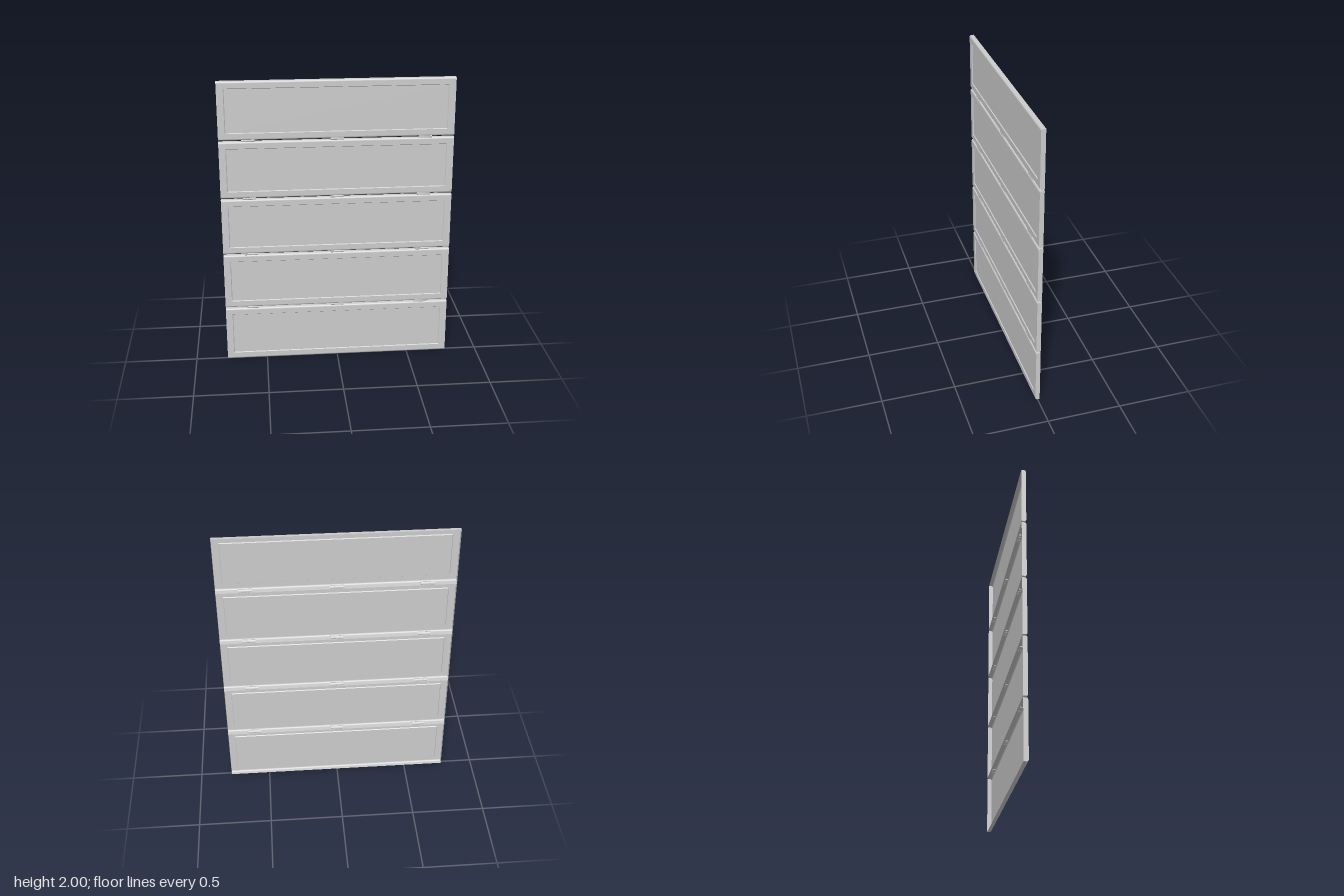
import * as THREE from 'three';

const W = 1.56, H = 0.392, PITCH = 0.402, D = 0.015, R = 0.012;
const mat = new THREE.MeshStandardMaterial({ color: 0xcccccc, side: THREE.DoubleSide });

function add(parent, name, geometry, x = 0, y = 0, z = 0) {
  const mesh = new THREE.Mesh(geometry, mat);
  mesh.name = name;
  mesh.position.set(x, y, z);
  parent.add(mesh);
  return mesh;
}

// Front sheet from nested rectangles [halfWidth, halfHeight, z]
function nestedRectangles(rings) {
  const pos = [], idx = [];
  for (const [w, h, z] of rings) pos.push(-w, -h, z, w, -h, z, w, h, z, -w, h, z);
  for (let i = 0; i < rings.length - 1; i++) {
    for (let j = 0; j < 4; j++) {
      const a = i * 4 + j, b = i * 4 + (j + 1) % 4;
      idx.push(a, b, b + 4, a, b + 4, a + 4);
    }
  }
  let g = new THREE.BufferGeometry();
  g.setAttribute('position', new THREE.Float32BufferAttribute(pos, 3));
  g.setIndex(idx);
  g = g.toNonIndexed();
  g.computeVertexNormals();
  return g;
}

// Flange folded from the front sheet around a rounded edge to the back
function flangeGeometry() {
  const profile = [[H / 2, -D]];
  for (let i = 0; i <= 6; i++) {
    const a = (i / 6) * Math.PI / 2;
    profile.push([H / 2 - R + R * Math.cos(a), D - R + R * Math.sin(a)]);
  }
  const g = new THREE.PlaneGeometry(W, 1, 1, profile.length - 1);
  const p = g.attributes.position;
  for (let i = 0; i < p.count; i++) {
    const [y, z] = profile[Math.floor(i / 2)];
    p.setXYZ(i, p.getX(i), y, z);
  }
  g.computeVertexNormals();
  return g;
}

// End plate outline in (z, y), rounded at the front corners
function endGeometry() {
  const s = new THREE.Shape();
  const h = H / 2;
  s.moveTo(-D, -h);
  s.lineTo(D - R, -h);
  s.absarc(D - R, -h + R, R, -Math.PI / 2, 0);
  s.lineTo(D, h - R);
  s.absarc(D - R, h - R, R, 0, Math.PI / 2);
  s.lineTo(-D, h);
  const g = new THREE.ShapeGeometry(s, 6);
  g.rotateY(-Math.PI / 2);
  return g;
}

export function createModel() {
  const model = new THREE.Group();
  model.name = 'sectionalDoor';

  // Pressed sheet with a shallow recessed field
  const sheet = nestedRectangles([
    [W / 2, H / 2 - R, D],
    [0.735, 0.15, D],
    [0.73, 0.146, D - 0.006],
    [0, 0, D - 0.006],
  ]);
  const flange = flangeGeometry();
  const end = endGeometry();

  // Five open-backed panels
  for (let i = 0; i < 5; i++) {
    const panel = new THREE.Group();
    panel.name = 'panel' + (i + 1);
    panel.position.y = H / 2 + i * PITCH;
    add(panel, 'frontSheet', sheet);
    add(panel, 'topFlange', flange);
    add(panel, 'bottomFlange', flange).scale.y = -1;
    add(panel, 'leftEnd', end, W / 2);
    add(panel, 'rightEnd', end, -W / 2);
    model.add(panel);
  }

  // Three hinges in each joint, each with three knuckles on a pin
  const knuckle = new THREE.CylinderGeometry(0.012, 0.012, 0.028, 16).rotateZ(Math.PI / 2);
  const pin = new THREE.CylinderGeometry(0.009, 0.009, 0.088, 12).rotateZ(Math.PI / 2);
  for (let i = 1; i < 5; i++) {
    for (const x of [-0.588, 0, 0.588]) {
      const hinge = new THREE.Group();
      hinge.name = 'hinge';
      hinge.position.set(x, i * PITCH - 0.004, 0.001);
      add(hinge, 'pin', pin);
      for (const k of [-1, 0, 1]) add(hinge, 'knuckle', knuckle, k * 0.03);
      model.add(hinge);
    }
  }
  return model;
}
